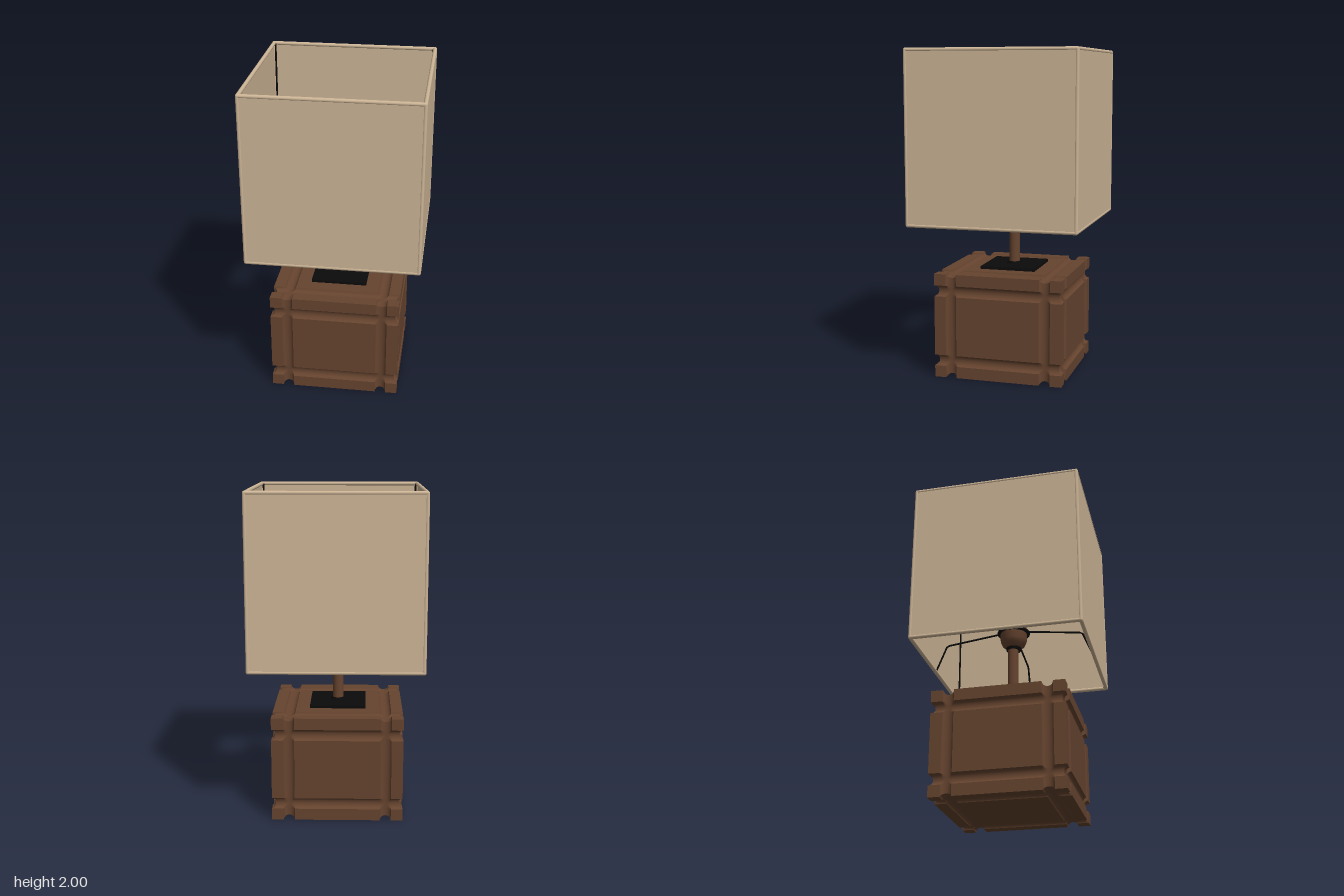
import * as THREE from 'three';
import { toCreasedNormals } from 'three/addons/utils/BufferGeometryUtils.js';

const mat = (name, color) => {
  const m = new THREE.MeshStandardMaterial({ color });
  m.name = name;
  return m;
};

// Block whose faces carry rounded grooves running parallel to every edge
function groovedBlock(w, h, d) {
  const STEPS = 8, WIDTH = 0.034, DEPTH = 0.024, INSET = 0.105;
  const axisStops = (half) => {
    const stops = [];
    for (const side of [-1, 1]) {
      const c = side * (half - INSET);
      for (let i = 0; i <= STEPS; i++) {
        const a = Math.PI * (1 - i / STEPS);
        stops.push([c + WIDTH * Math.cos(a), DEPTH * Math.sin(a)]);
      }
    }
    return [[-half, 0], ...stops, [half, 0]];
  };
  const stops = [w / 2, h / 2, d / 2].map(axisStops);
  const n = stops[0].length - 1;
  const geo = new THREE.BoxGeometry(1, 1, 1, n, n, n);
  const pos = geo.attributes.position;
  for (let v = 0; v < pos.count; v++) {
    const idx = [0, 1, 2].map((k) => Math.round((pos.getComponent(v, k) + 0.5) * n));
    const depth = Math.max(...idx.map((i, k) => stops[k][i][1]));
    idx.forEach((i, k) => {
      const p = stops[k][i][0];
      const onFace = i === 0 || i === n;
      // on a face only grooves from the other two axes push inward
      pos.setComponent(v, k, onFace ? p - Math.sign(p) * depth : p);
    });
  }
  return toCreasedNormals(geo, 0.5);
}

export function createModel() {
  const wood = mat('brown wood', 0x66442f);
  const fabric = mat('tan fabric', 0xcdb596);
  const metal = mat('black metal', 0x0b0b0b);

  const lamp = new THREE.Group();
  lamp.name = 'tableLamp';
  const add = (name, geo, material, x = 0, y = 0, z = 0, parent = lamp) => {
    const m = new THREE.Mesh(geo, material);
    m.name = name;
    m.position.set(x, y, z);
    parent.add(m);
    return m;
  };
  const lathe = (points) => toCreasedNormals(
    new THREE.LatheGeometry(points.map(([r, y]) => new THREE.Vector2(r, y)), 40), 0.6);

  // Base block, top plate and stem
  add('baseBlock', groovedBlock(0.797, 0.645, 0.797), wood, -0.005, 0.3225, -0.005);
  add('topPlate', new THREE.BoxGeometry(0.346, 0.018, 0.346), metal, -0.004, 0.653, -0.004);
  add('stemNut', new THREE.CylinderGeometry(0.045, 0.05, 0.015, 32), metal, -0.004, 0.668, -0.004);
  add('stem', new THREE.CylinderGeometry(0.033, 0.033, 0.43, 32), wood, -0.003, 0.875, -0.003);

  // Socket and bulb
  add('socketCollar', new THREE.CylinderGeometry(0.05, 0.045, 0.02, 32), metal, 0, 1.06, 0);
  add('socket', lathe([[0, 1.065], [0.048, 1.065], [0.07, 1.085], [0.083, 1.115], [0.085, 1.2],
    [0.066, 1.21], [0.066, 1.23], [0.072, 1.235], [0.072, 1.25], [0, 1.25]]), wood);
  add('socketRing', new THREE.TorusGeometry(0.093, 0.011, 10, 40).rotateX(Math.PI / 2), metal, 0, 1.17, 0);
  add('bulb', lathe([[0.06, 1.25], [0.066, 1.28], [0.085, 1.32], [0.1, 1.36], [0.104, 1.39],
    [0.1, 1.42], [0.087, 1.448], [0.066, 1.469], [0.042, 1.481], [0.026, 1.485],
    [0.022, 1.496], [0.012, 1.503], [0, 1.505]]), wood);

  // Wire arms carrying the shade
  const armPoints = [[0.09, 1.175], [0.44, 1.13], [0.51, 0.957]];
  const path = new THREE.CurvePath();
  for (let i = 0; i < 2; i++) {
    path.add(new THREE.LineCurve3(...[armPoints[i], armPoints[i + 1]]
      .map(([x, y]) => new THREE.Vector3(x, y, 0))));
  }
  const armGeo = new THREE.TubeGeometry(path, 24, 0.006, 8);
  for (let i = 0; i < 4; i++) add('shadeArm', armGeo, metal).rotation.y = i * Math.PI / 2;

  // Square shade: four identical sides with piped edges
  const R = 0.512, PIPE = 0.012, LOW = 0.956, HIGH = 1.988;
  const span = HIGH - LOW, mid = (HIGH + LOW) / 2;
  const panel = new THREE.BoxGeometry(2 * R, span, 0.006);
  const railGeo = new THREE.CylinderGeometry(PIPE, PIPE, 2 * R, 12).rotateZ(Math.PI / 2);
  const postGeo = new THREE.CylinderGeometry(PIPE, PIPE, span, 12);
  const ballGeo = new THREE.SphereGeometry(PIPE, 12, 8);
  const wireGeo = new THREE.CylinderGeometry(0.006, 0.006, span, 8);
  for (let i = 0; i < 4; i++) {
    const side = new THREE.Group();
    side.name = 'shadeSide';
    side.rotation.y = i * Math.PI / 2;
    lamp.add(side);
    add('shadePanel', panel, fabric, 0, mid, R + 0.006, side);
    add('shadeCornerPiping', postGeo, fabric, R, mid, R, side);
    add('cornerWire', wireGeo, metal, R - 0.01, mid, R - 0.01, side);
    for (const y of [LOW, HIGH]) {
      add('shadeRimPiping', railGeo, fabric, 0, y, R, side);
      add('shadeCorner', ballGeo, fabric, R, y, R, side);
    }
  }

  // Slight turn of the whole lamp about its axis
  lamp.rotation.y = -0.009;
  const model = new THREE.Group();
  model.name = 'model';
  model.add(lamp);
  return model;
}
